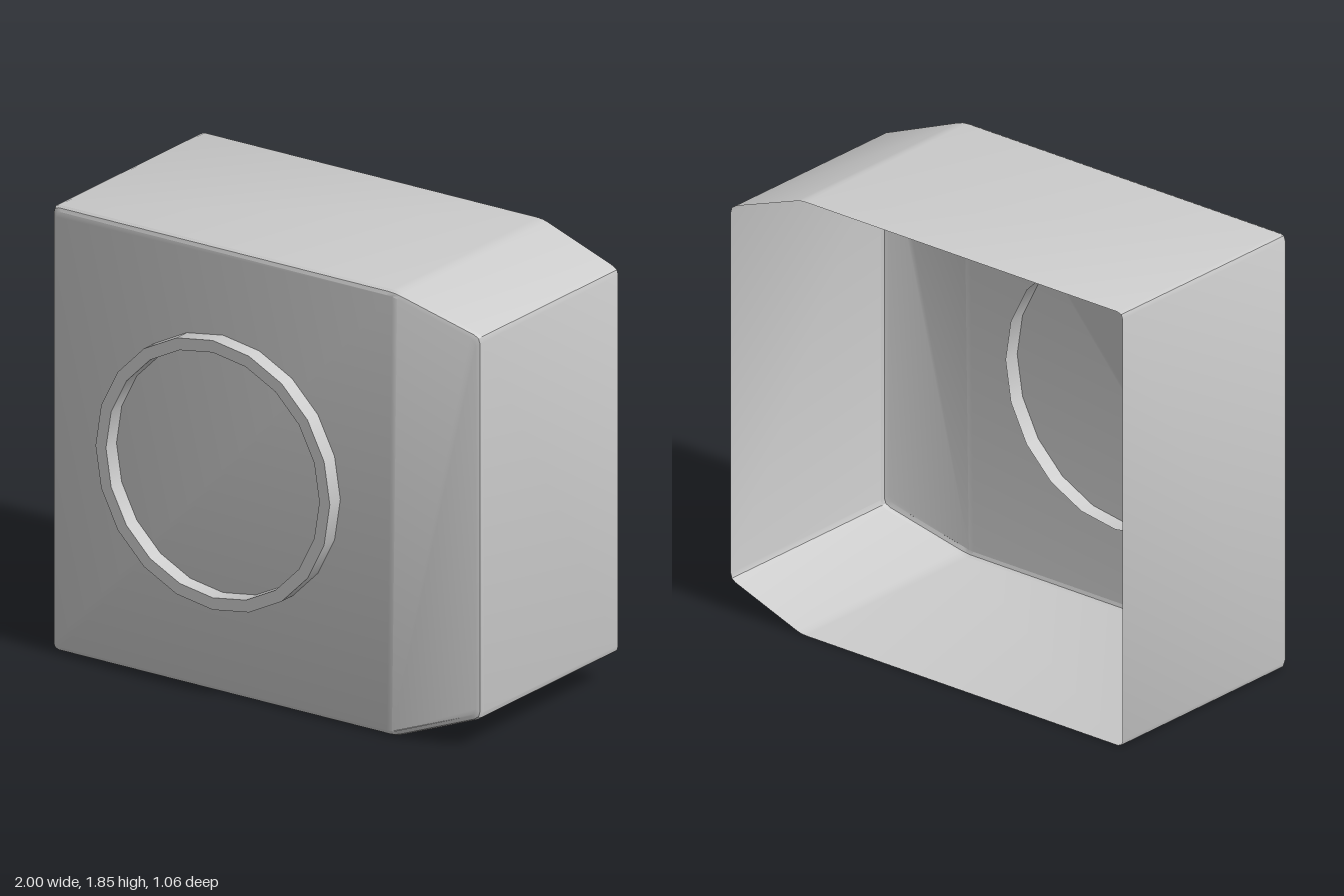
import * as THREE from 'three';
import { toCreasedNormals } from 'three/addons/utils/BufferGeometryUtils.js';

const MID_Y = 0.925, BEND_X = 0.64;

// Front face: flat, then sloping back towards the model's left edge
const frontZ = x => 0.46 - 0.194 * Math.max(0, x - BEND_X);

// Outline of the housing, each corner softened with three points
function outline() {
  const corners = [[-1, 0], [BEND_X, 0], [1, 0.13], [1, 1.72], [BEND_X, 1.85], [-1, 1.85]]
    .map(([x, y]) => new THREE.Vector2(x, y));
  const r = 0.025;
  return corners.flatMap((c, i) => {
    const prev = corners[(i + 5) % 6], next = corners[(i + 1) % 6];
    const a = c.clone().add(prev.clone().sub(c).setLength(r));
    const b = c.clone().add(next.clone().sub(c).setLength(r));
    return new THREE.QuadraticBezierCurve(a, c, b).getPoints(2);
  });
}

// Open-backed shell: side walls, rounded front edge and two-plane front
function housingGeometry() {
  const base = outline(), n = base.length;
  const loop = (inset, zOf) => base.map(p => {
    const x = p.x * (1 - inset);
    const y = MID_Y + (p.y - MID_Y) * (1 - inset / MID_Y);
    return [x, y, zOf(x)];
  });
  const loops = [
    loop(0, () => -0.53),
    loop(0, x => frontZ(x) - 0.02),
    loop(0.006, x => frontZ(x) - 0.006),
    loop(0.02, frontZ),
  ];
  const index = [];
  for (let k = 0; k < loops.length - 1; k++) {
    for (let i = 0; i < n; i++) {
      const j = (i + 1) % n;
      const a = k * n + i, b = k * n + j, c = b + n, d = a + n;
      index.push(a, b, c, a, c, d);
    }
  }
  // Front face in two fans that meet along the bend
  const cap = (loops.length - 1) * n, low = 4, high = 13;
  const fan = (start, end) => {
    for (let i = start + 1; i < end; i++) {
      index.push(cap + start, cap + i % n, cap + (i + 1) % n);
    }
  };
  fan(low, high);
  fan(high, low + n);

  const geo = new THREE.BufferGeometry();
  geo.setAttribute('position', new THREE.Float32BufferAttribute(loops.flat(2), 3));
  geo.setIndex(index);
  return toCreasedNormals(geo, 0.4);
}

export function createModel() {
  const model = new THREE.Group();
  model.name = 'housing assembly';
  const material = new THREE.MeshStandardMaterial({ color: 0xcccccc, side: THREE.DoubleSide });
  const add = (parent, name, geometry) => {
    const mesh = new THREE.Mesh(geometry, material);
    mesh.name = name;
    parent.add(mesh);
    return mesh;
  };

  add(model, 'housing', housingGeometry());

  // Raised round collar that passes through the front wall
  const collar = new THREE.Group();
  collar.name = 'frontCollar';
  collar.position.set(-0.18, 0.93, 0);
  model.add(collar);

  const sides = 20, outer = 0.56, inner = 0.51, front = 0.53;
  const wall = (name, r, back) => {
    const geo = new THREE.CylinderGeometry(r, r, front - back, sides, 1, true);
    geo.rotateX(Math.PI / 2);
    add(collar, name, geo).position.z = (front + back) / 2;
  };
  wall('collarOuterWall', outer, 0.39);
  wall('collarInnerWall', inner, 0.46);
  add(collar, 'collarRim', new THREE.RingGeometry(inner, outer, sides)).position.z = front;

  return model;
}
